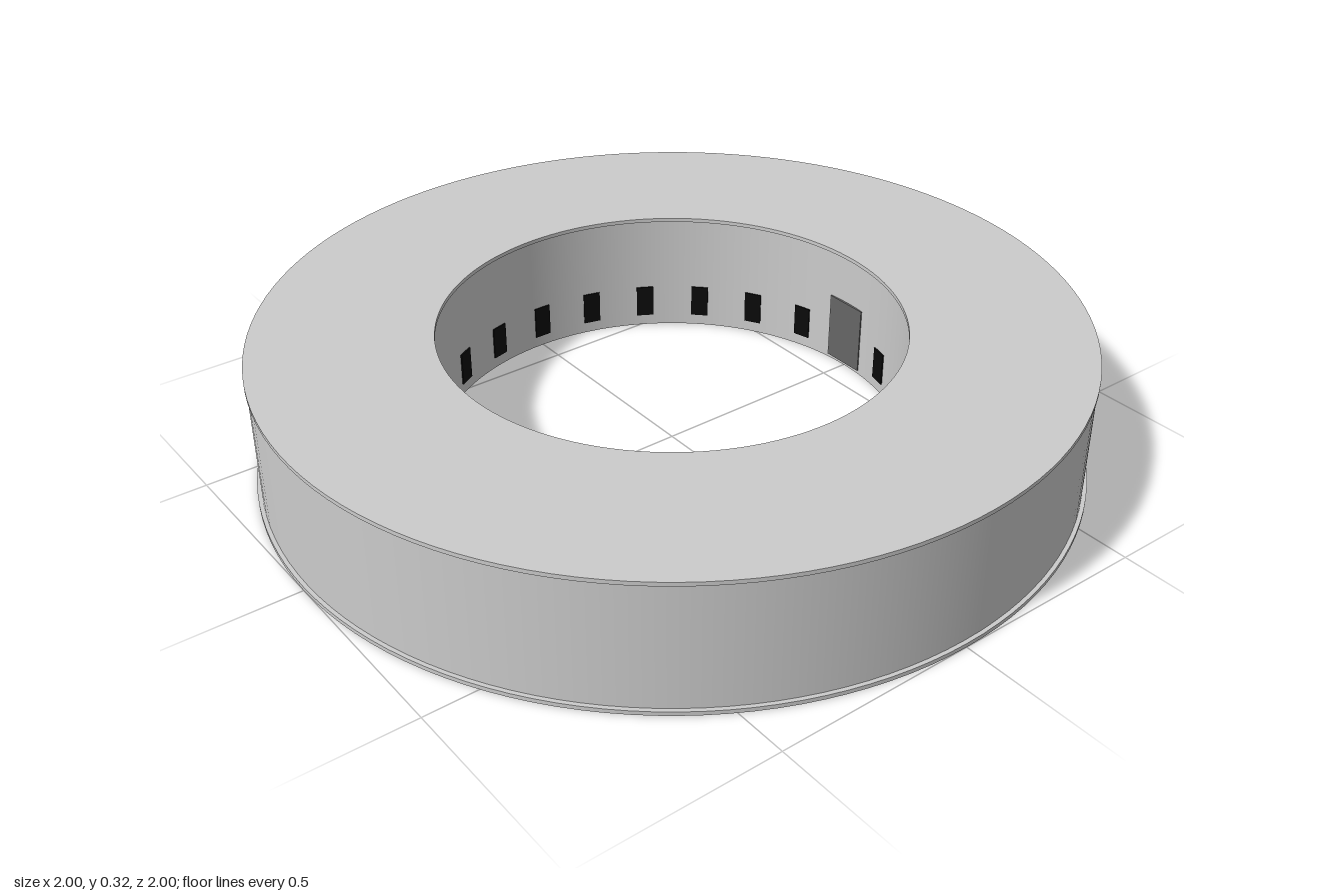
import * as THREE from 'three';

const HEIGHT = 0.325, WALL_IN = 0.571, WALL_OUT = 0.99;
const WINDOWS = 24;

const grey = new THREE.MeshStandardMaterial({ color: 0xcccccc });
const doorGrey = new THREE.MeshStandardMaterial({ color: 0x666666 });
const black = new THREE.MeshStandardMaterial({ color: 0x0a0a0a });

// Ring with a rectangular section; doubled corners keep the edges sharp
function ring(name, inner, outer, y0, y1) {
  const corners = [[outer, y0], [outer, y1], [inner, y1], [inner, y0]];
  const pts = [];
  corners.forEach(([r, y], i) => {
    pts.push(new THREE.Vector2(r, y));
    if (i > 0) pts.push(new THREE.Vector2(r, y));
  });
  pts.push(new THREE.Vector2(outer, y0));
  const mesh = new THREE.Mesh(new THREE.LatheGeometry(pts, 128), grey);
  mesh.name = name;
  return mesh;
}

// Thin panel on the courtyard wall, at an angle measured from +x
function wallPanel(name, angle, width, y0, y1, depth, material) {
  const mesh = new THREE.Mesh(new THREE.BoxGeometry(depth, y1 - y0, width), material);
  mesh.name = name;
  mesh.position.set(WALL_IN * Math.cos(angle), (y0 + y1) / 2, WALL_IN * Math.sin(angle));
  mesh.rotation.y = -angle;
  return mesh;
}

export function createModel() {
  const group = new THREE.Group();
  group.name = 'ringBuilding';

  // Foundation, body and flat roof
  group.add(ring('foundation', WALL_IN, 1.0, 0, 0.01));
  group.add(ring('body', WALL_IN, WALL_OUT, 0.01, HEIGHT - 0.01));
  group.add(ring('roof', 0.558, 0.994, HEIGHT - 0.01, HEIGHT));

  // Courtyard door, with windows around the rest of the inner wall
  group.add(wallPanel('door', 0, 0.115, 0.01, 0.185, 0.012, doorGrey));
  for (let i = 1; i < WINDOWS; i++) {
    const angle = (i / WINDOWS) * Math.PI * 2;
    group.add(wallPanel('window', angle, 0.045, 0.03, 0.115, 0.008, black));
  }
  return group;
}
